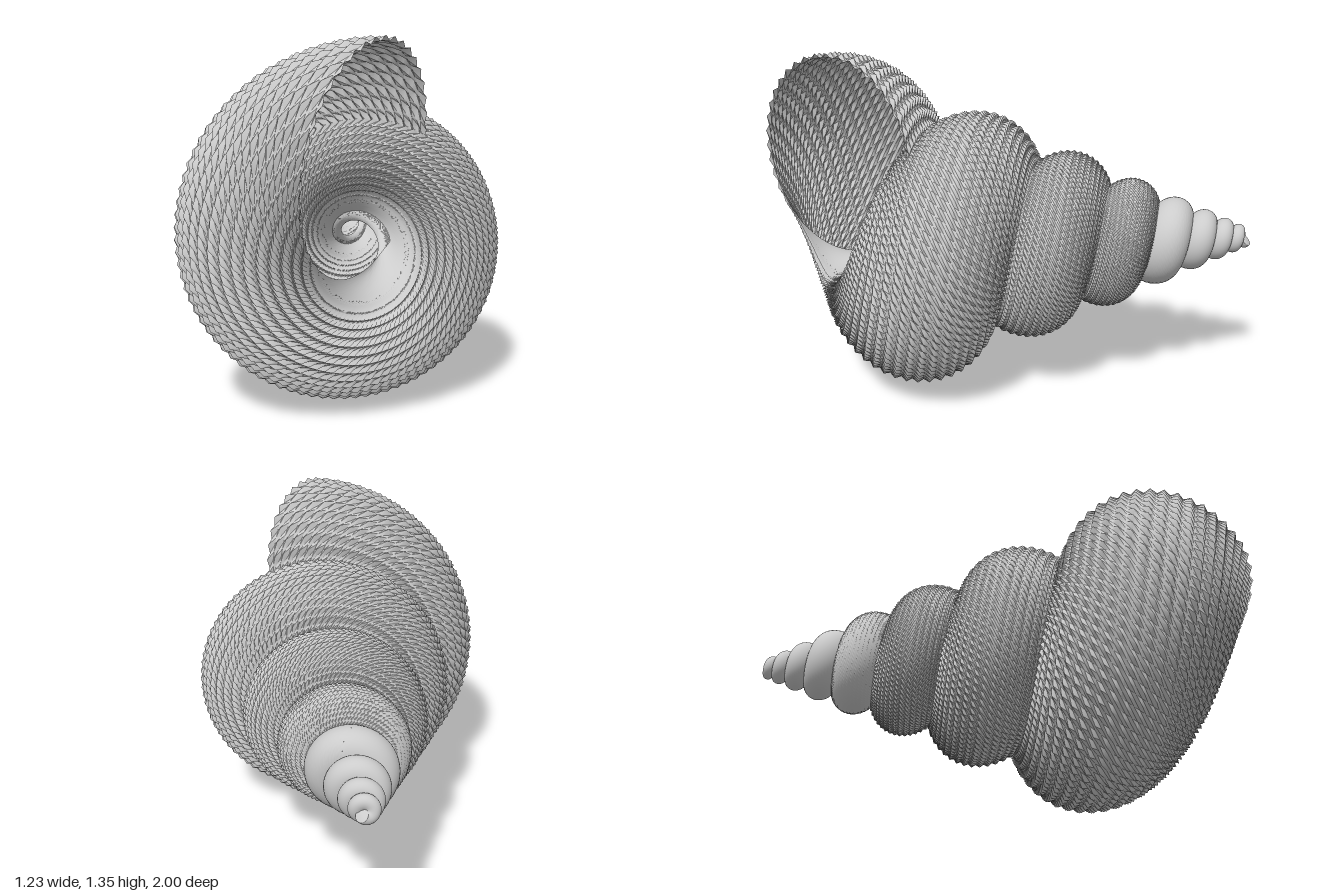
import * as THREE from 'three';
import { toCreasedNormals } from 'three/addons/utils/BufferGeometryUtils.js';

const TURN = Math.PI * 2;
const GROWTH = Math.log(1.45);            // size gain per whorl
const AXIS = { x: 0.057, y: 0.622, z: -1.08 }; // coiling axis and its vanishing point

// Point of the coiled tube: turn counts back from the lip (0), s runs round the section
function shellPoint(turn, s, bump) {
  const g = Math.exp(GROWTH * turn), a = turn * TURN;
  const swell = 0.955 + 0.045 * bump;
  const c = Math.cos(s) * swell, d = Math.sin(s) * swell;
  const radial = g * (0.318 + 0.418 * c - 0.01 * d);
  const along = g * (0.055 * c - 0.25 * d); // the section leans against the axis
  return [
    AXIS.x + radial * Math.sin(a) + along * Math.cos(a),
    AXIS.y + radial * Math.cos(a) - along * Math.sin(a),
    AXIS.z + g * (1.745 + 0.335 * d),
  ];
}

// Stretch of tube between two turns, skinned from closed rings
function tube(from, to, perTurn, sides, bumpAt, closedStart) {
  const rings = Math.round((to - from) * perTurn);
  const pos = [], index = [];
  for (let i = 0; i <= rings; i++) {
    const turn = from + ((to - from) * i) / rings;
    const ring = [];
    for (let j = 0; j < sides; j++) {
      const s = (j / sides) * TURN;
      ring.push(shellPoint(turn, s, bumpAt(i, j, turn, s)));
    }
    // Close the apex by drawing the first ring to its middle
    if (i === 0 && closedStart) {
      const mid = [0, 1, 2].map((k) => ring.reduce((t, p) => t + p[k], 0) / sides);
      ring.fill(mid);
    }
    for (const p of ring) pos.push(...p);
  }
  for (let i = 0; i < rings; i++) {
    for (let j = 0; j < sides; j++) {
      const k = (j + 1) % sides;
      const a = i * sides + j, c = i * sides + k, b = a + sides, d = c + sides;
      index.push(a, c, b, b, c, d);
    }
  }
  const geo = new THREE.BufferGeometry();
  geo.setAttribute('position', new THREE.Float32BufferAttribute(pos, 3));
  geo.setIndex(index);
  geo.computeVertexNormals();
  return geo;
}

export function createModel() {
  const group = new THREE.Group();
  group.name = 'spiralShell';
  const material = new THREE.MeshStandardMaterial({ color: 0xcccccc, side: THREE.DoubleSide });

  // Pointed scales on every second ring and side, fading towards the spire and the columella
  const scales = (i, j, turn, s) => {
    if (i % 2 || j % 2) return 0;
    return THREE.MathUtils.smoothstep(Math.cos(s), -0.9, -0.5) *
      THREE.MathUtils.smoothstep(turn, -4, -2.5);
  };
  const body = new THREE.Mesh(toCreasedNormals(tube(-4, 0, 180, 80, scales, false), 0.6), material);
  body.name = 'scalyWhorls';
  group.add(body);

  // Smooth early whorls up to the tip
  const spire = new THREE.Mesh(tube(-7.7, -4, 60, 40, () => 0, true), material);
  spire.name = 'spire';
  group.add(spire);
  return group;
}
